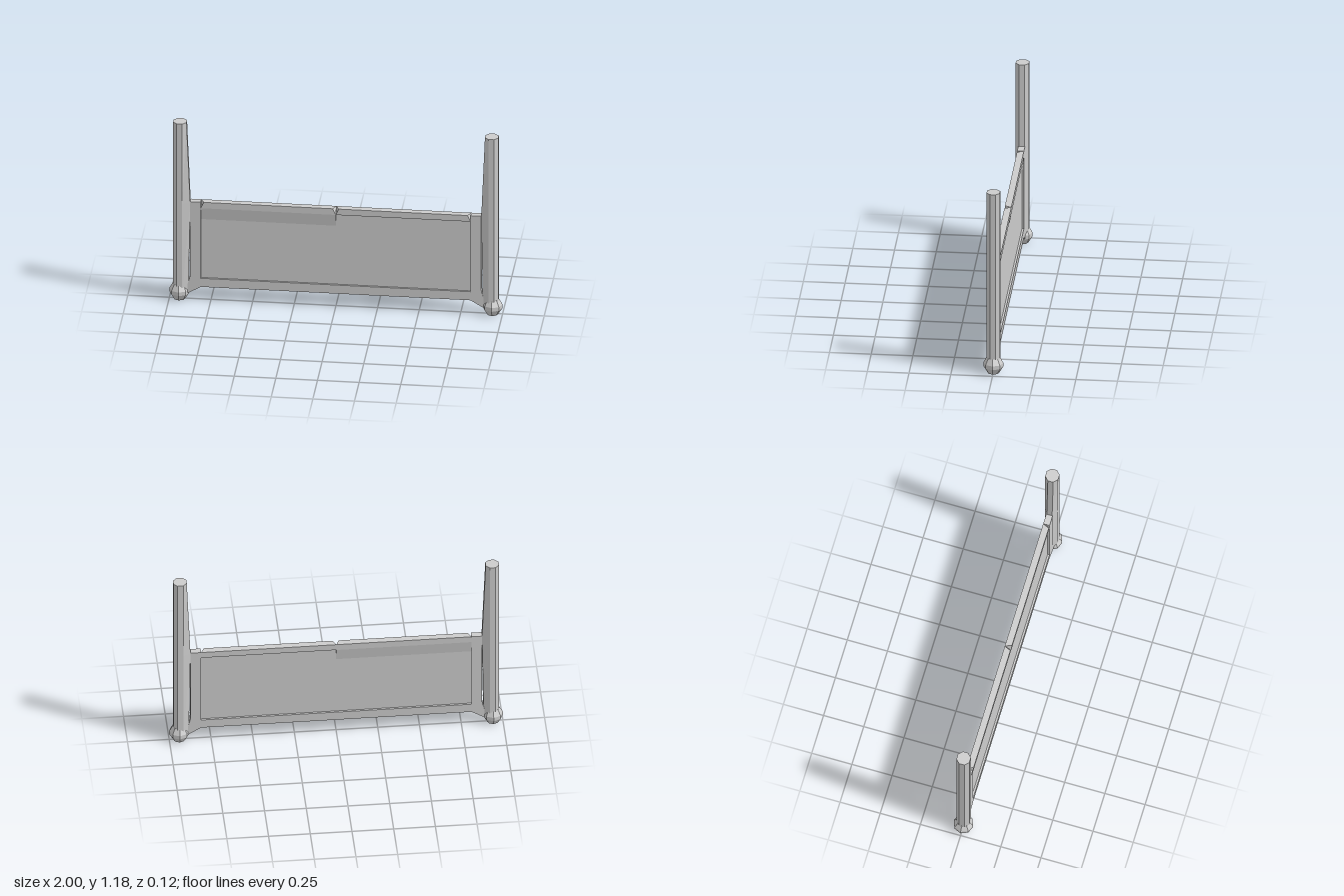
import * as THREE from 'three';

const mat = new THREE.MeshStandardMaterial({ color: 0xcccccc, flatShading: true });
mat.side = THREE.DoubleSide;

const D = 0.02;      // half depth of the frame
const P = 0.008;     // half depth of the panel

function add(parent, name, geometry, x = 0, y = 0, z = 0) {
  const mesh = new THREE.Mesh(geometry, mat);
  mesh.name = name;
  mesh.position.set(x, y, z);
  parent.add(mesh);
  return mesh;
}

// Box between two x and two y values, optionally with its top front corners pulled in
function bar(parent, name, x0, x1, y0, y1, half, notchA = 0, notchB = 0) {
  const g = new THREE.BoxGeometry(x1 - x0, y1 - y0, half * 2);
  const p = g.attributes.position;
  for (let i = 0; i < p.count; i++) {
    if (p.getY(i) > 0 && p.getZ(i) > 0) {
      p.setX(i, p.getX(i) + (p.getX(i) < 0 ? notchA : -notchB));
    }
  }
  g.computeVertexNormals();
  return add(parent, name, g, (x0 + x1) / 2, (y0 + y1) / 2, 0);
}

// Flat outline extruded to the frame depth
function plate(points, depth) {
  const shape = new THREE.Shape(points.map(([x, y]) => new THREE.Vector2(x, y)));
  const g = new THREE.ExtrudeGeometry(shape, { depth, bevelEnabled: false });
  return g;
}

// Eight-sided post, straight outside and swelling on the inner side
function postGeometry(side) {
  const bottom = 0.05, top = 1.18, cx = 0.936;
  const g = new THREE.CylinderGeometry(0.0433, 0.0433, top - bottom, 8, 2, false, Math.PI / 8);
  const p = g.attributes.position;
  for (let i = 0; i < p.count; i++) {
    const t = p.getY(i) / (top - bottom);
    const level = t > 0.25 ? top : t < -0.25 ? bottom : 0.65;
    const inner = level === top ? 0 : level === bottom ? 0.012 : 0.022;
    let x = p.getX(i);
    if (x * side < -0.03) x -= side * inner;
    p.setXYZ(i, x + side * cx, level, p.getZ(i));
  }
  g.computeVertexNormals();
  return g;
}

export function createModel() {
  const model = new THREE.Group();
  model.name = 'bedEnd';

  // Posts, ball feet and stiles on both sides
  for (const side of [-1, 1]) {
    const label = side > 0 ? 'left' : 'right';
    add(model, label + 'Post', postGeometry(side));

    const profile = [[0, 0], [0.036, 0], [0.06, 0.04], [0.06, 0.064], [0.04, 0.1], [0, 0.1]];
    add(model, label + 'Foot',
      new THREE.LatheGeometry(profile.map(([x, y]) => new THREE.Vector2(x, y)), 8), side * 0.94);

    const stile = [[0.81, 0.09], [0.885, 0.045], [0.9, 0.06], [0.874, 0.16], [0.874, 0.655], [0.81, 0.655]];
    add(model, label + 'Stile', plate(stile.map(([x, y]) => [x * side, y]), D * 2), 0, 0, -D);
  }

  // Rails; the top one is in two halves with small corner notches
  bar(model, 'bottomRail', -0.81, 0.81, 0.09, 0.147, D);
  bar(model, 'topRailRight', -0.81, 0, 0.615, 0.655, D, 0.018, 0.018);
  bar(model, 'topRailLeft', 0, 0.81, 0.615, 0.655, D, 0.018, 0.018);

  // Recessed panel
  bar(model, 'panel', -0.815, 0.815, 0.14, 0.62, P);

  // Sloped band under the right half of the top rail
  const band = plate([[-D, 0.617], [D, 0.617], [P, 0.537], [-P, 0.537]], 0.81);
  add(model, 'slopedBand', band, -0.81).rotation.y = Math.PI / 2;

  return model;
}
